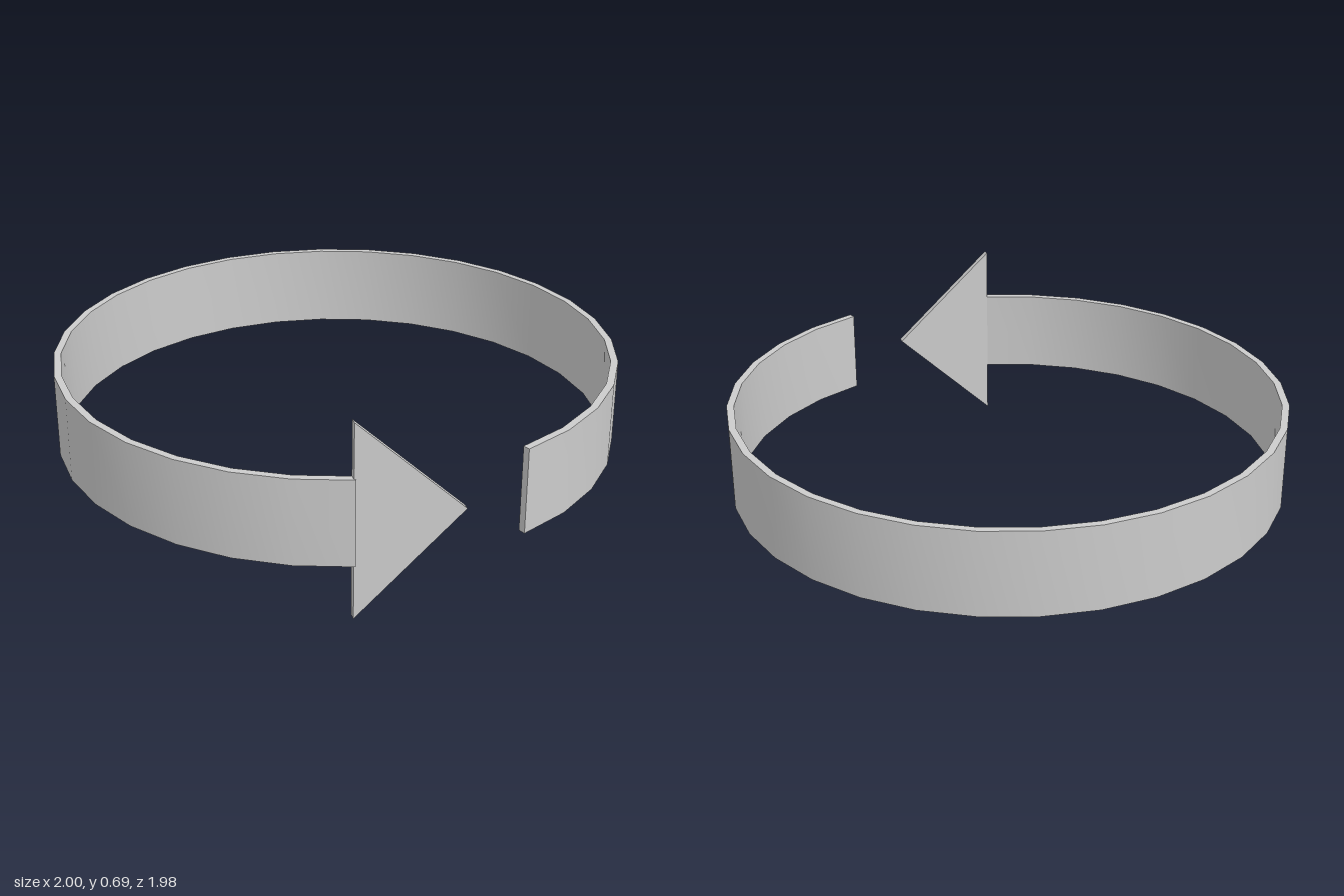
import * as THREE from 'three';
import { toCreasedNormals } from 'three/addons/utils/BufferGeometryUtils.js';

const OUTER = 1, INNER = 0.974, BOTTOM = 0.193, TOP = 0.498;
const CENTRE_Z = 0.012;
const STEP = Math.PI / 16; // 32 segments in a full turn
const START = 2 * STEP, SEGMENTS = 29;

export function createModel() {
  const model = new THREE.Group();
  const material = new THREE.MeshStandardMaterial({ color: 0xcccccc });

  function add(name, geometry, parent) {
    const mesh = new THREE.Mesh(geometry, material);
    mesh.name = name;
    parent.add(mesh);
    return mesh;
  }

  // Open circular band with a rectangular section
  const band = new THREE.Group();
  band.name = 'band';
  band.position.z = CENTRE_Z;
  model.add(band);

  const section = [[OUTER, BOTTOM], [OUTER, TOP], [INNER, TOP], [INNER, BOTTOM], [OUTER, BOTTOM]]
    .map(([r, y]) => new THREE.Vector2(r, y));
  const sweep = new THREE.LatheGeometry(section, SEGMENTS, START, SEGMENTS * STEP);
  add('bandBody', toCreasedNormals(sweep, 0.6), band);

  // Flat caps closing both ends of the band
  const mid = (OUTER + INNER) / 2;
  for (const [name, angle, turn] of [
    ['tailCap', START, -Math.PI / 2],
    ['headCap', START + SEGMENTS * STEP, Math.PI / 2],
  ]) {
    const cap = add(name, new THREE.PlaneGeometry(OUTER - INNER, TOP - BOTTOM), band);
    cap.position.set(mid * Math.sin(angle), (TOP + BOTTOM) / 2, mid * Math.cos(angle));
    cap.rotation.y = angle + turn;
  }

  // Flat triangular arrowhead
  const triangle = new THREE.Shape([[-0.2, 0], [0.167, 0.345], [-0.2, 0.69]]
    .map(([x, y]) => new THREE.Vector2(x, y)));
  const head = add('arrowhead',
    new THREE.ExtrudeGeometry(triangle, { depth: 0.026, bevelEnabled: false }), model);
  head.position.z = 0.962;

  return model;
}
